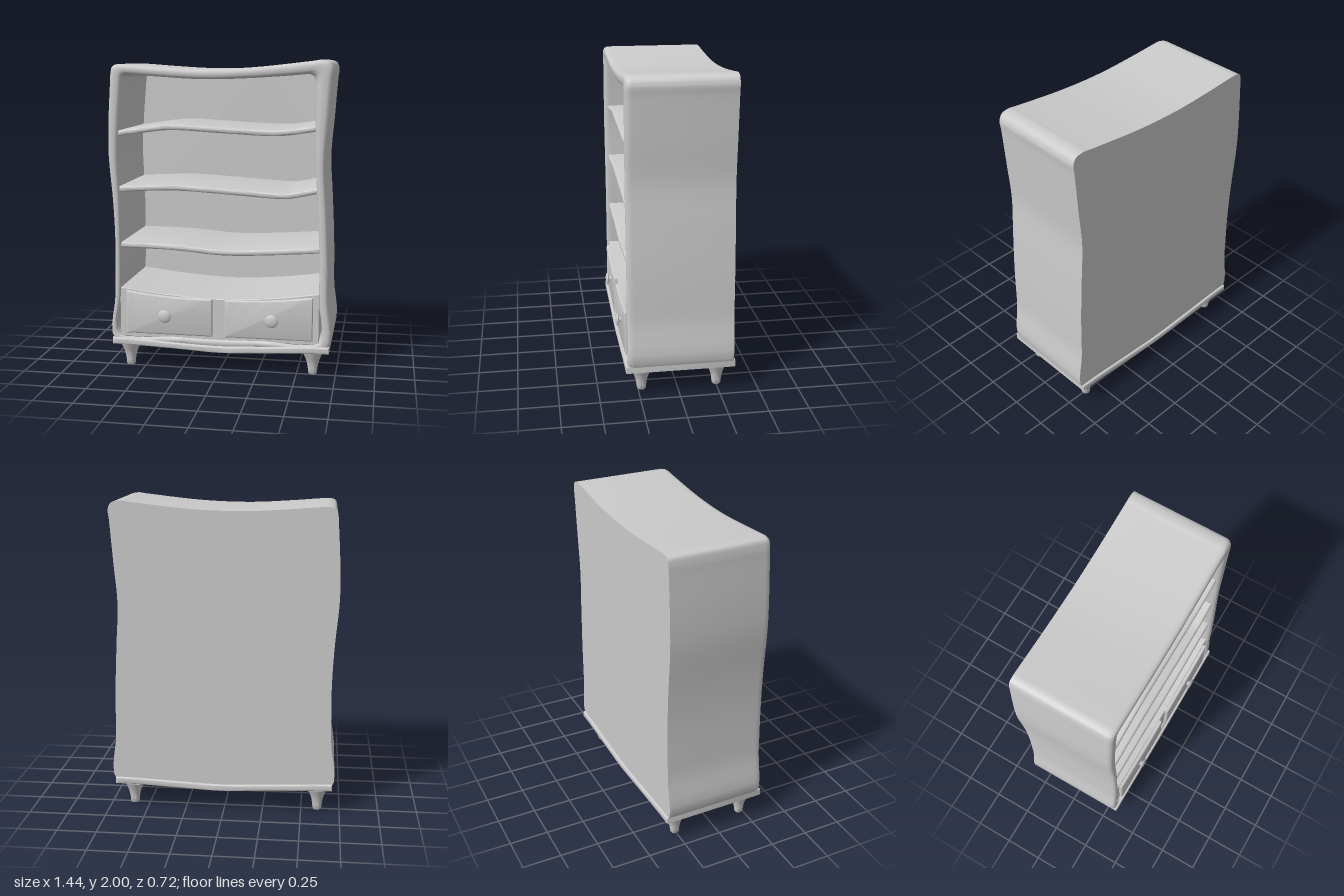
import * as THREE from 'three';
import { toCreasedNormals } from 'three/addons/utils/BufferGeometryUtils.js';

const material = new THREE.MeshStandardMaterial({ color: 0xcccccc });

function add(group, name, geometry, x = 0, y = 0, z = 0) {
  const mesh = new THREE.Mesh(geometry, material);
  mesh.name = name;
  mesh.position.set(x, y, z);
  group.add(mesh);
  return mesh;
}

const closedCurve = (pts) => new THREE.CatmullRomCurve3(
  pts.map(([x, y]) => new THREE.Vector3(x, y, 0)), true);

// Wavy board: smooth upper and lower edge lines, extruded from z0 to z1 with rounded rims
function board(top, bottom, z0, z1, bevel, segments = 3) {
  const line = (pts) => new THREE.SplineCurve(pts.map((p) => new THREE.Vector2(...p))).getPoints(24);
  const shape = new THREE.Shape([...line(bottom), ...line(top).reverse()]);
  const geometry = new THREE.ExtrudeGeometry(shape, {
    depth: z1 - z0 - 2 * bevel, bevelEnabled: true, bevelThickness: bevel,
    bevelSize: bevel, bevelOffset: -bevel, bevelSegments: segments,
  });
  geometry.translate(0, 0, z0 + bevel);
  return toCreasedNormals(geometry, 0.7);
}

const lower = (pts, t) => pts.map(([x, y]) => [x, y - t]);

// Carcass outlines, counter-clockwise from the bottom right; both lists pair up point by point
const OUTER = [
  [0.70, 0.18], [0.70, 0.5], [0.695, 0.8], [0.68, 1.1], [0.666, 1.36], [0.685, 1.62], [0.704, 1.88],
  [0.71, 1.95], [0.69, 1.987], [0.64, 2.0], [0.58, 1.993], [0.2, 1.953], [-0.12, 1.943], [-0.4, 1.957],
  [-0.6, 1.972], [-0.645, 1.973], [-0.68, 1.96], [-0.692, 1.92], [-0.697, 1.85], [-0.712, 1.6],
  [-0.714, 1.4], [-0.69, 1.1], [-0.68, 0.85], [-0.685, 0.5], [-0.69, 0.18], [-0.3, 0.175], [0, 0.165], [0.3, 0.175],
];
const INNER = [
  [0.64, 0.23], [0.64, 0.5], [0.638, 0.8], [0.622, 1.1], [0.607, 1.36], [0.602, 1.62], [0.603, 1.82],
  [0.602, 1.87], [0.59, 1.9], [0.56, 1.913], [0.52, 1.91], [0.2, 1.888], [-0.1, 1.88], [-0.38, 1.895],
  [-0.56, 1.908], [-0.59, 1.908], [-0.61, 1.897], [-0.617, 1.87], [-0.622, 1.82], [-0.64, 1.6],
  [-0.65, 1.4], [-0.64, 1.1], [-0.638, 0.85], [-0.644, 0.5], [-0.655, 0.23], [-0.3, 0.226], [0, 0.22], [0.3, 0.226],
];

// Rounded section [share from outer to inner outline, z] swept around the outlines
function frameGeometry() {
  const section = [[0, -0.32], [0, 0.28], [0.04, 0.3], [0.14, 0.314], [0.3, 0.32], [0.7, 0.32],
    [0.86, 0.314], [0.96, 0.3], [1, 0.28], [1, -0.32]];
  const n = OUTER.length * 5;
  const outer = closedCurve(OUTER), inner = closedCurve(INNER);
  const positions = [], index = [], m = section.length;
  for (let i = 0; i < n; i++) {
    const a = outer.getPoint(i / n), b = inner.getPoint(i / n);
    for (const [t, z] of section) {
      positions.push(a.x + (b.x - a.x) * t, a.y + (b.y - a.y) * t, z);
    }
    for (let j = 0; j < m - 1; j++) {
      const p = i * m + j, q = ((i + 1) % n) * m + j;
      index.push(p, q, q + 1, p, q + 1, p + 1);
    }
  }
  const geometry = new THREE.BufferGeometry();
  geometry.setAttribute('position', new THREE.Float32BufferAttribute(positions, 3));
  geometry.setIndex(index);
  return toCreasedNormals(geometry, 0.8);
}

export function createModel() {
  const model = new THREE.Group();
  model.name = 'bookcase';

  // Carcass and back
  add(model, 'frame', frameGeometry());
  const backShape = new THREE.Shape(closedCurve(OUTER).getPoints(OUTER.length * 5)
    .slice(0, -1).map((p) => new THREE.Vector2(p.x, p.y)));
  const back = new THREE.ExtrudeGeometry(backShape, { depth: 0.02, bevelEnabled: false });
  add(model, 'backPanel', toCreasedNormals(back, 0.7), 0, 0, -0.34);

  // Sagging plinth
  const baseTop = [[-0.7, 0.205], [-0.55, 0.202], [-0.25, 0.187], [0, 0.178], [0.25, 0.187], [0.55, 0.202], [0.71, 0.205]];
  const baseBottom = [[-0.7, 0.162], [-0.55, 0.16], [-0.25, 0.148], [0, 0.136], [0.25, 0.145], [0.55, 0.16], [0.71, 0.162]];
  add(model, 'base', board(baseTop, baseBottom, -0.355, 0.335, 0.008));

  // Wavy shelves
  const shelves = [
    [[-0.65, 0.836], [-0.3, 0.83], [0, 0.807], [0.25, 0.812], [0.645, 0.84]],
    [[-0.65, 1.2], [-0.3, 1.216], [0, 1.202], [0.38, 1.178], [0.5, 1.19], [0.63, 1.218]],
    [[-0.66, 1.555], [-0.5, 1.578], [-0.3, 1.6], [0, 1.585], [0.3, 1.57], [0.45, 1.577], [0.615, 1.602]],
  ];
  for (const top of shelves) {
    add(model, 'shelf', board(top, lower(top, 0.037), -0.33, 0.3, 0.014, 4));
  }

  // Drawer case with two fronts and knobs
  const caseTop = [[-0.65, 0.54], [-0.35, 0.505], [0, 0.485], [0.35, 0.505], [0.645, 0.545]];
  add(model, 'drawerCase', board(caseTop, [[-0.65, 0.21], [0.645, 0.21]], -0.33, 0.305, 0.004, 1));
  const knobProfile = [[0.022, -0.005], [0.016, 0.008], [0.018, 0.012], [0.04, 0.016], [0.043, 0.021],
    [0.036, 0.027], [0.02, 0.032], [0, 0.033]].map((p) => new THREE.Vector2(...p));
  for (const side of [-1, 1]) {
    const line = [[0.04, 0.484], [0.32, 0.492], [0.605, 0.522]].map(([x, y]) => [x * side, y]);
    if (side < 0) line.reverse();
    const bottom = [[line[0][0], 0.24], [line[2][0], 0.24]];
    add(model, 'drawerFront', board(line, bottom, 0.28, 0.328, 0.009));
    const knob = new THREE.LatheGeometry(knobProfile, 12);
    knob.rotateX(Math.PI / 2);
    add(model, 'knob', knob, side * 0.347, 0.366, 0.327);
  }

  // Flared feet
  const footProfile = [[0, 0], [0.024, 0], [0.029, 0.008], [0.031, 0.035], [0.038, 0.075], [0.052, 0.115],
    [0.068, 0.145], [0.076, 0.17], [0, 0.17]].map((p) => new THREE.Vector2(...p));
  for (const x of [-0.605, 0.602]) {
    for (const z of [0.227, -0.253]) {
      add(model, 'foot', toCreasedNormals(new THREE.LatheGeometry(footProfile, 20), 0.8), x, 0, z);
    }
  }
  return model;
}
